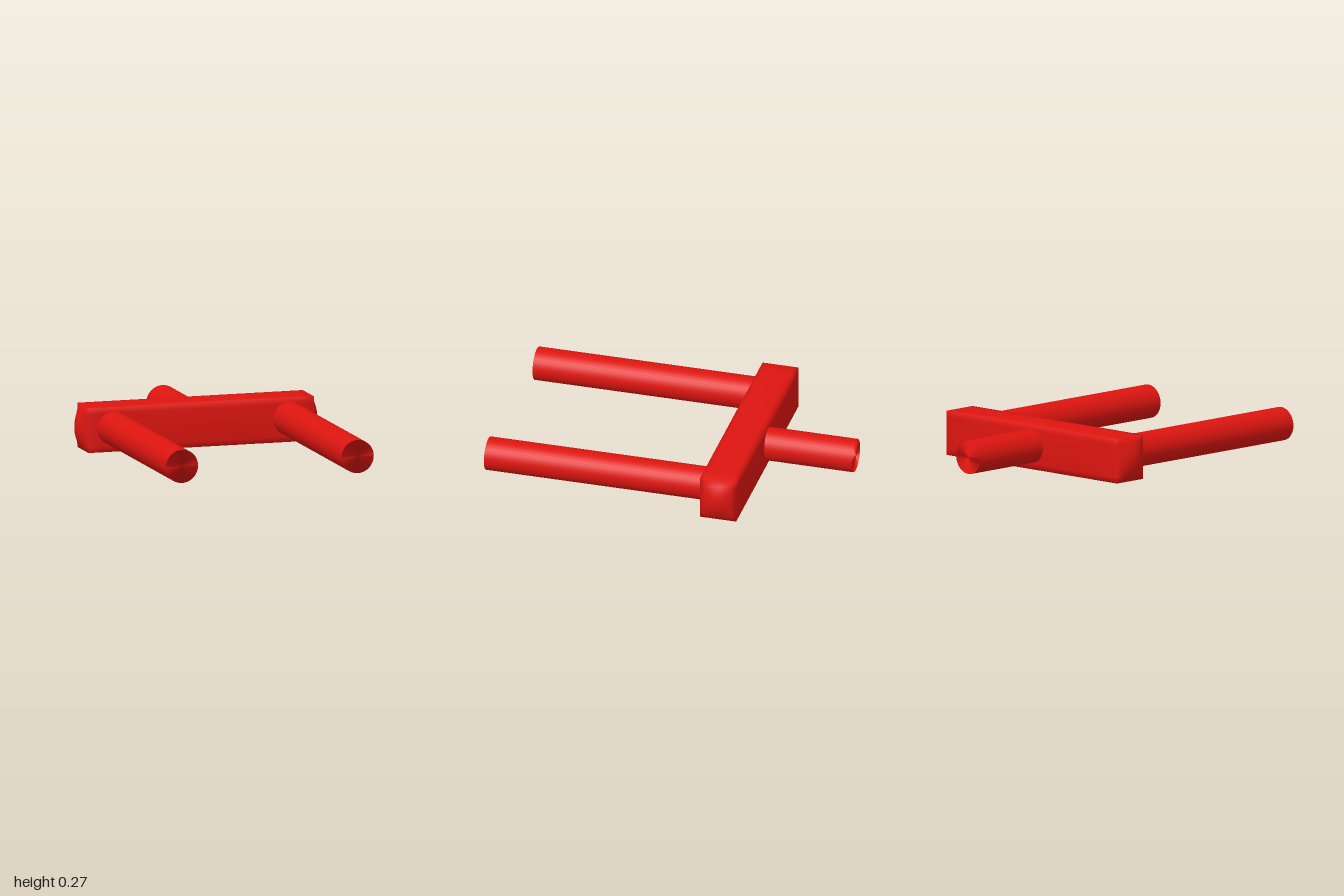
import * as THREE from 'three';
import { mergeVertices } from 'three/addons/utils/BufferGeometryUtils.js';

const red = new THREE.MeshStandardMaterial({ color: 0xdd1510 });

// Round rod along z; the end rows fold flat to the axis, so the flat ends keep the wall's soft radial shading
function rod(name, x, z0, z1) {
  const length = z1 - z0;
  const geo = new THREE.CylinderGeometry(0.095, 0.095, length, 32, 3, true);
  const pos = geo.attributes.position;
  for (let i = 0; i < pos.count; i++) {
    const y = pos.getY(i);
    const isEnd = Math.abs(y) > length * 0.4;
    const k = isEnd ? 0 : 1;
    pos.setXYZ(i, pos.getX(i) * k, Math.sign(y) * length / 2, pos.getZ(i) * k);
  }
  geo.rotateX(Math.PI / 2);
  const mesh = new THREE.Mesh(geo, red);
  mesh.name = name;
  mesh.position.set(x, 0.145, (z0 + z1) / 2);
  return mesh;
}

// Pillowed bar: a box whose faces swell gently, with the most swell at the two ends
function crossbar() {
  const half = [0.665, 0.126, 0.105];
  const swell = [0.046, 0.01, 0.008];
  let geo = new THREE.BoxGeometry(half[0] * 2, half[1] * 2, half[2] * 2, 16, 8, 8);
  const pos = geo.attributes.position;
  for (let i = 0; i < pos.count; i++) {
    const u = half.map((h, a) => pos.getComponent(i, a) / h);
    const room = u.map((v) => 1 - v * v);
    u.forEach((v, a) => {
      const b = (a + 1) % 3, c = (a + 2) % 3;
      pos.setComponent(i, a, v * (half[a] + swell[a] * room[b] * room[c]));
    });
  }
  geo.deleteAttribute('normal');
  geo.deleteAttribute('uv');
  geo = mergeVertices(geo);
  geo.computeVertexNormals();
  const mesh = new THREE.Mesh(geo, red);
  mesh.name = 'crossbar';
  mesh.position.set(0, 0.137, -0.38);
  return mesh;
}

export function createModel() {
  const group = new THREE.Group();
  group.name = 'twoProngedFork';
  group.add(crossbar());
  // Two prongs to the front, one stem to the back
  group.add(rod('leftProng', 0.518, -0.36, 1));
  group.add(rod('rightProng', -0.518, -0.36, 1));
  group.add(rod('rearStem', 0, -1, -0.4));
  return group;
}
